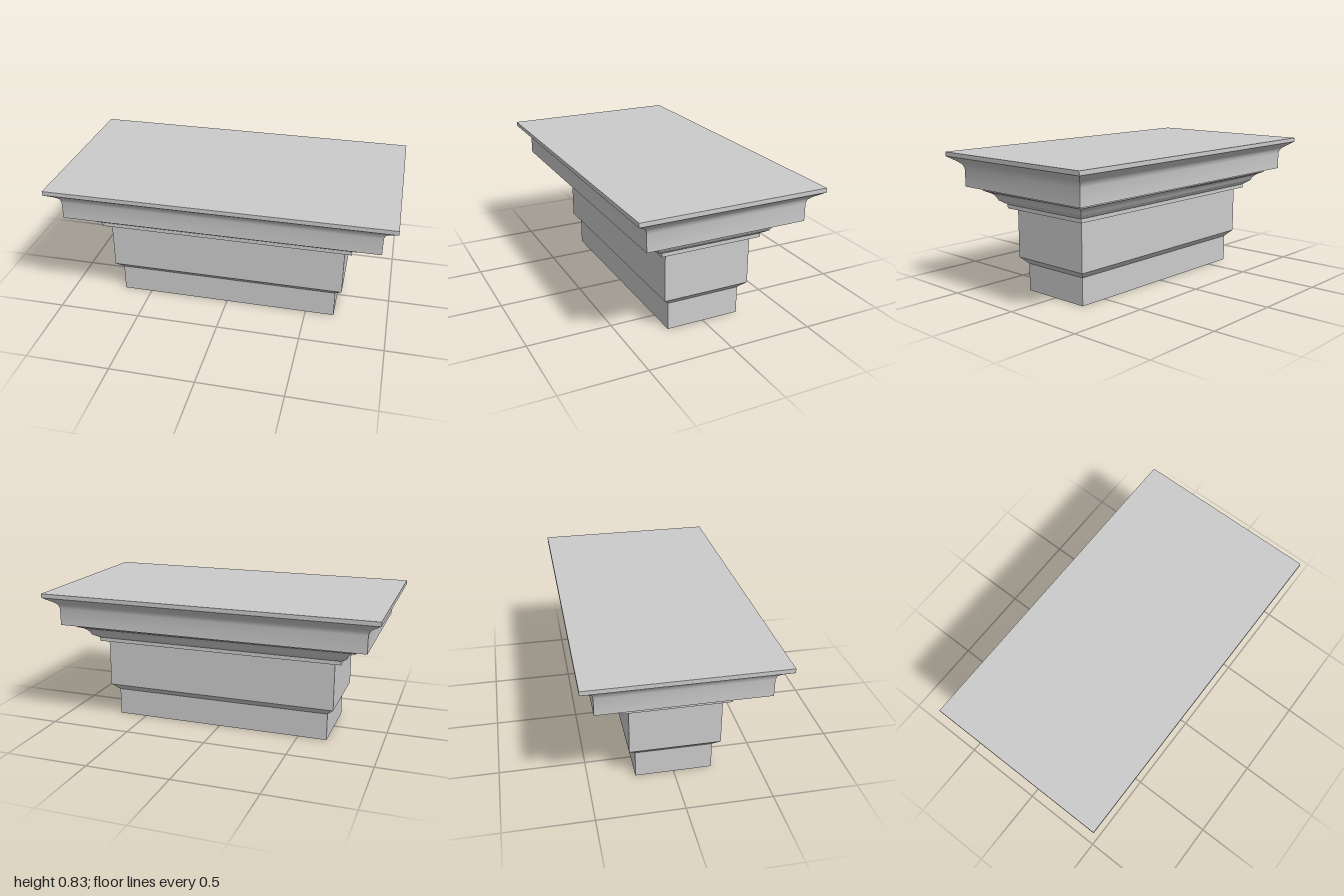
import * as THREE from 'three';
import { toCreasedNormals } from 'three/addons/utils/BufferGeometryUtils.js';

const DEPTH_INSET = 0.45; // half width minus half depth, the same at every level
const CORNERS = [[1, 1], [1, -1], [-1, -1], [-1, 1]];

// Sweeps a profile of [half width, height] points round a mitred rectangle.
function moulding(name, profile, material, { bottom = false, top = false } = {}) {
  const positions = [];
  const index = [];
  for (const [half, y] of profile) {
    for (const [sx, sz] of CORNERS) positions.push(sx * half, y, sz * (half - DEPTH_INSET));
  }
  for (let ring = 0; ring < profile.length - 1; ring++) {
    for (let side = 0; side < 4; side++) {
      const a = ring * 4 + side;
      const b = ring * 4 + (side + 1) % 4;
      index.push(a, b, b + 4, a, b + 4, a + 4);
    }
  }
  if (bottom) index.push(0, 2, 1, 0, 3, 2);
  if (top) {
    const t = (profile.length - 1) * 4;
    index.push(t, t + 1, t + 2, t, t + 2, t + 3);
  }
  const geometry = new THREE.BufferGeometry();
  geometry.setAttribute('position', new THREE.Float32BufferAttribute(positions, 3));
  geometry.setIndex(index);
  const mesh = new THREE.Mesh(toCreasedNormals(geometry, 0.7), material);
  mesh.name = name;
  return mesh;
}

export function createModel() {
  const model = new THREE.Group();
  model.name = 'corniceBlock';
  const material = new THREE.MeshStandardMaterial({ color: 0xcccccc });

  // Narrow foot, chamfer and plain upright block
  model.add(moulding('shaft', [
    [0.675, 0], [0.675, 0.165], [0.715, 0.205], [0.715, 0.5],
  ], material, { bottom: true }));

  // Stepped, curved moulding under the cornice
  model.add(moulding('bedMoulding', [
    [0.715, 0.5], [0.757, 0.5], [0.757, 0.523], [0.793, 0.547], [0.802, 0.567],
    [0.812, 0.58], [0.828, 0.592], [0.858, 0.606], [0.858, 0.63],
  ], material));

  // Flat band, flaring cove and thin top slab
  model.add(moulding('cornice', [
    [0.858, 0.63], [0.925, 0.63], [0.925, 0.732], [0.931, 0.754], [0.941, 0.766],
    [0.956, 0.778], [1, 0.808], [1, 0.833],
  ], material, { top: true }));

  return model;
}
